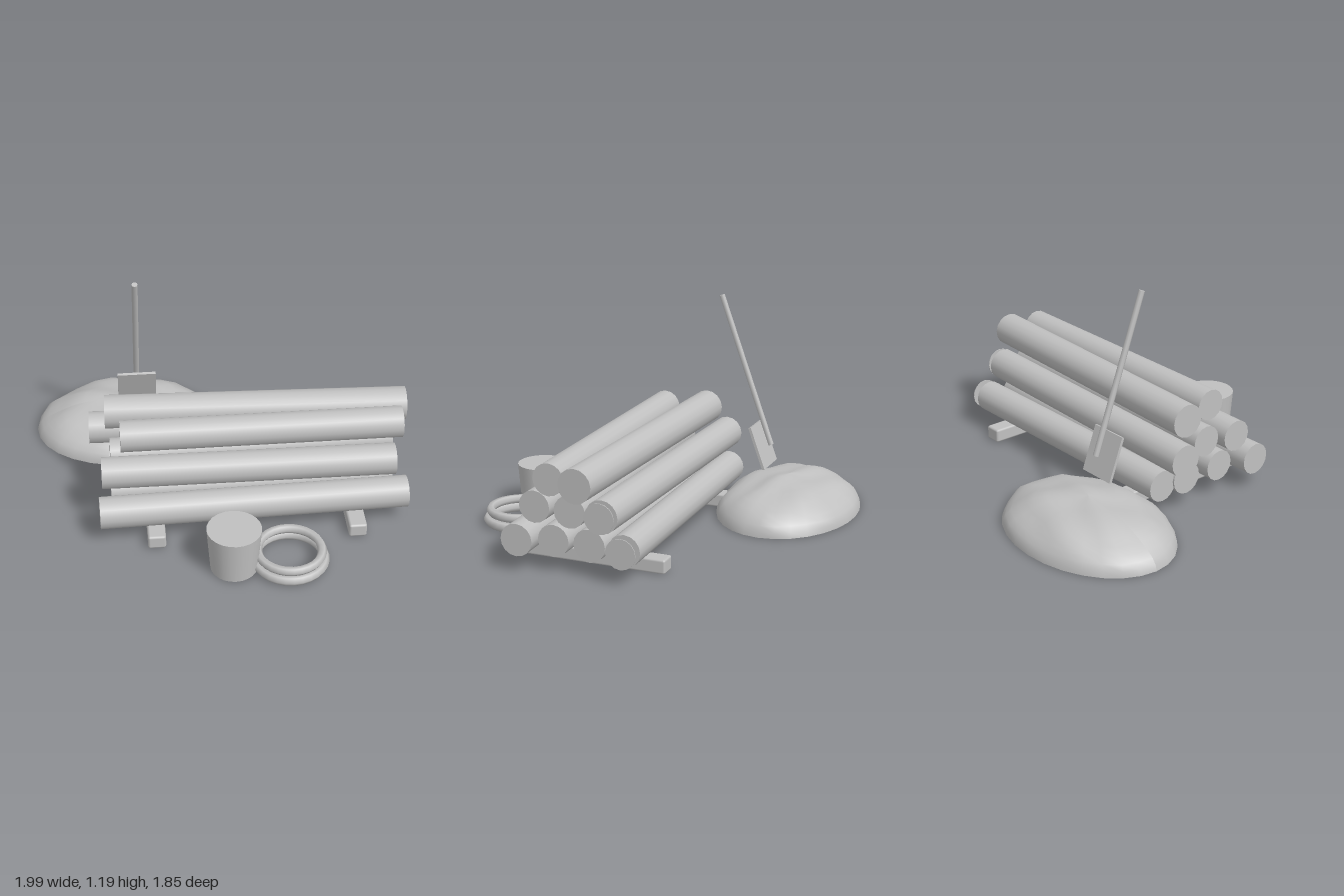
import * as THREE from 'three';
import { RoundedBoxGeometry } from 'three/addons/geometries/RoundedBoxGeometry.js';

const grey = new THREE.MeshStandardMaterial({ color: 0xc0c0c0 });
grey.name = 'plain grey';

export function createModel() {
  const model = new THREE.Group();
  model.name = 'logPileWithTools';

  const add = (name, geometry, x, y, z, parent = model) => {
    const mesh = new THREE.Mesh(geometry, grey);
    mesh.name = name;
    mesh.position.set(x, y, z);
    parent.add(mesh);
    return mesh;
  };

  // Rod between two points
  const up = new THREE.Vector3(0, 1, 0);
  const rod = (name, a, b, r, sides, parent) => {
    const from = new THREE.Vector3(...a), to = new THREE.Vector3(...b);
    const dir = to.clone().sub(from);
    const mid = from.clone().add(to).multiplyScalar(0.5);
    const mesh = add(name, new THREE.CylinderGeometry(r, r, dir.length(), sides), mid.x, mid.y, mid.z, parent);
    mesh.quaternion.setFromUnitVectors(up, dir.normalize());
    return mesh;
  };

  // Stacked logs: height, left end x and z, right end x and z, radius
  const stack = new THREE.Group();
  stack.name = 'logStack';
  model.add(stack);
  [
    [0.165, -0.665, 0.44, 0.96, 0.4, 0.085],
    [0.165, -0.6, 0.24, 0.9, 0.225, 0.084],
    [0.165, -0.6, 0.01, 0.9, 0.03, 0.086],
    [0.165, -0.59, -0.145, 0.9, -0.157, 0.085],
    [0.33, -0.645, 0.315, 0.9, 0.327, 0.084],
    [0.33, -0.595, 0.15, 0.91, 0.13, 0.084],
    [0.33, -0.7, -0.09, 0.915, -0.045, 0.087],
    [0.495, -0.54, 0.225, 0.945, 0.225, 0.084],
    [0.495, -0.612, 0, 0.992, 0.062, 0.09],
  ].forEach(([y, x0, z0, x1, z1, r]) => rod('log', [x0, y, z0], [x1, y, z1], r, 16, stack));

  // Thin cut faces close to the log ends
  [[0.905, 0.165, 0.405], [0.945, 0.165, -0.157], [0.945, 0.33, -0.045]].forEach(([x, y, z]) => {
    add('cutFace', new THREE.CylinderGeometry(0.08, 0.08, 0.004, 16), x, y, z, stack).rotation.z = -Math.PI / 2;
  });

  // Bearers under the stack
  for (const x of [-0.375, 0.683]) {
    add('bearer', new RoundedBoxGeometry(0.095, 0.076, 0.86, 1, 0.012), x, 0.04, 0.13);
  }

  // Bucket
  add('bucket', new THREE.CylinderGeometry(0.142, 0.122, 0.25, 24), 0.01, 0.125, 0.727);

  // Rope coil
  [[0.18, 0.027, 0.027], [0.167, 0.024, 0.077]].forEach(([R, tube, y]) => {
    add('ropeLoop', new THREE.TorusGeometry(R, tube, 6, 28), 0.3, y, 0.715).rotation.x = Math.PI / 2;
  });

  // Earth mound: flattened dome with a gently uneven surface
  const dome = new THREE.SphereGeometry(1, 28, 10, 0, Math.PI * 2, 0, Math.PI / 2);
  const p = dome.attributes.position;
  for (let i = 0; i < p.count; i++) {
    const x = p.getX(i), y = p.getY(i), z = p.getZ(i);
    const bump = 1 + y * 0.035 * (Math.sin(9 * x + 4 * z) + Math.cos(11 * z - 5 * x));
    p.setXYZ(i, x * 0.522 * bump, Math.max(0, y * 0.195 * bump), z * 0.382 * bump);
  }
  dome.computeVertexNormals();
  const mound = new THREE.Group();
  mound.name = 'mound';
  mound.position.set(-0.477, 0, -0.542);
  model.add(mound);
  add('moundTop', dome, 0, 0, 0, mound);
  const base = add('moundBase', new THREE.CircleGeometry(1, 28), 0, 0, 0, mound);
  base.rotation.x = Math.PI / 2;
  base.scale.set(0.522, 0.382, 1);

  // Shovel leaning over the mound
  const shovel = new THREE.Group();
  shovel.name = 'shovel';
  model.add(shovel);
  rod('shovelHandle', [-0.425, 0.37, -0.448], [-0.425, 1.182, -0.153], 0.016, 8, shovel);
  const blade = add('shovelBlade', new THREE.BoxGeometry(0.21, 0.242, 0.015), -0.425, 0.367, -0.4, shovel);
  blade.rotation.x = 0.35;

  return model;
}
